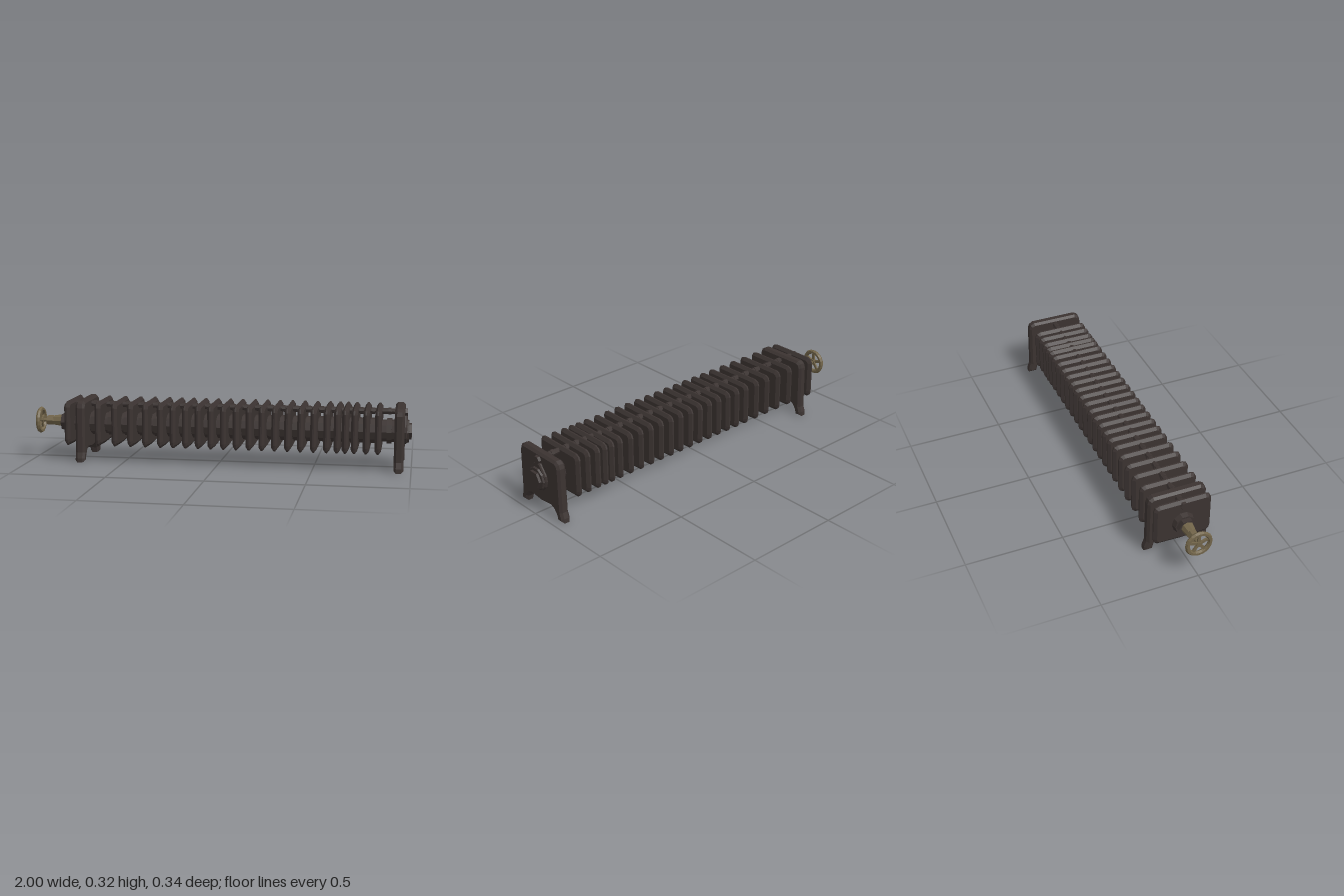
import * as THREE from 'three';

const iron = new THREE.MeshStandardMaterial({ color: 0x3b3331 });
iron.name = 'castIron';
const bronze = new THREE.MeshStandardMaterial({ color: 0x716449 });
bronze.name = 'agedBronze';

const AXIS_Y = 0.192; // height of the main pipe
const ROD_Y = 0.294;  // height of the upper tie pipe

// Faceted mesh
function part(name, geometry, material = iron) {
  const flat = geometry.index ? geometry.toNonIndexed() : geometry;
  flat.computeVertexNormals();
  const mesh = new THREE.Mesh(flat, material);
  mesh.name = name;
  return mesh;
}

// Cylinder lying along x, from x0 (radius r0) to x1 (radius r1)
function bar(name, x0, x1, r0, r1, y, sides = 10, material = iron) {
  const g = new THREE.CylinderGeometry(r1, r0, x1 - x0, sides);
  g.rotateZ(-Math.PI / 2);
  g.translate((x0 + x1) / 2, y, 0);
  return part(name, g, material);
}

// Outline in (z, y), mirrored from one half, extruded along x about its middle
function plate(half, depth, bevel, bevelSize) {
  const all = [...half, ...half.slice().reverse().map(([z, y]) => [-z, y])]
    .filter(([z], i, a) => z !== 0 || a.findIndex((p) => p[0] === 0 && p[1] === a[i][1]) === i);
  const shape = new THREE.Shape(all.map(([z, y]) => new THREE.Vector2(z, y)));
  const g = new THREE.ExtrudeGeometry(shape, {
    depth, bevelEnabled: bevel > 0, bevelThickness: bevel,
    bevelSize, bevelOffset: -bevelSize, bevelSegments: 1,
  });
  g.translate(0, 0, -depth / 2);
  g.rotateY(Math.PI / 2);
  return g;
}

export function createModel() {
  const radiator = new THREE.Group();
  radiator.name = 'radiator';

  // Fin positions: wide pitch on the left, tighter towards the right
  const fins = [-0.80, -0.635, -0.545, -0.46, -0.38, -0.3, -0.232];
  for (let i = 0; i < 12; i++) fins.push(-0.166 + i * 0.0668);
  fins.push(0.622, 0.664, 0.71, 0.77, 0.83);
  const legs = [-0.727, 0.937];

  // Thin fins with tapered rims
  const finShape = plate([
    [0, 0.084], [0.13, 0.088], [0.145, 0.1], [0.15, 0.12], [0.15, 0.292], [0.141, 0.312], [0.122, 0.32],
  ], 0.008, 0.012, 0.016);
  fins.forEach((x) => {
    const fin = part('fin', finShape);
    fin.position.x = x;
    radiator.add(fin);
  });

  // Thicker end plates that carry the feet
  const legShape = plate([
    [0, 0.056], [0.075, 0.065], [0.1, 0.054], [0.118, 0.03], [0.125, 0.002], [0.17, 0.002],
    [0.168, 0.025], [0.157, 0.055], [0.154, 0.29], [0.146, 0.313], [0.125, 0.325],
  ], 0.026, 0.012, 0.012);
  legs.forEach((x) => {
    const leg = part('legPlate', legShape);
    leg.position.x = x;
    radiator.add(leg);
  });

  // Main pipe and upper pipe, with a collar where neighbouring sections meet
  radiator.add(bar('mainPipe', -0.81, 0.94, 0.058, 0.058, AXIS_Y));
  radiator.add(bar('upperPipe', -0.81, 0.94, 0.015, 0.015, ROD_Y, 8));
  const stations = [...fins, ...legs].sort((a, b) => a - b);
  for (let i = 0; i < stations.length - 1; i++) {
    const mid = (stations[i] + stations[i + 1]) / 2;
    radiator.add(bar('pipeCollar', mid - 0.013, mid + 0.013, 0.066, 0.066, AXIS_Y));
    radiator.add(bar('upperCollar', mid - 0.008, mid + 0.008, 0.018, 0.018, ROD_Y, 8));
  }

  // Raised teardrop and hexagonal plug on the right end
  const boss = part('endBoss', plate([
    [0, 0.125], [0.035, 0.136], [0.06, 0.162], [0.068, 0.195], [0.062, 0.222], [0.022, 0.275], [0, 0.28],
  ], 0.014, 0.006, 0.006));
  boss.position.x = 0.962;
  radiator.add(boss);
  radiator.add(bar('plugFlange', 0.955, 0.985, 0.067, 0.058, AXIS_Y, 10));
  radiator.add(bar('hexPlug', 0.98, 0.998, 0.047, 0.045, AXIS_Y, 6));
  radiator.add(bar('upperPlug', 0.95, 0.976, 0.025, 0.02, 0.29, 6));

  // Fittings on the left end
  radiator.add(bar('inletFlange', -0.842, -0.8, 0.052, 0.064, AXIS_Y, 10));
  radiator.add(bar('inletNut', -0.866, -0.84, 0.046, 0.048, AXIS_Y, 6));
  radiator.add(bar('upperPlug', -0.825, -0.8, 0.018, 0.022, ROD_Y, 6));

  // Bronze valve
  const valve = new THREE.Group();
  valve.name = 'valve';
  const y = 0.197;
  valve.add(bar('valveBody', -0.915, -0.86, 0.025, 0.034, y, 8, bronze));
  valve.add(bar('valveNut', -0.95, -0.912, 0.027, 0.027, y, 6, bronze));
  valve.add(bar('valveStem', -0.99, -0.948, 0.009, 0.011, y, 8, bronze));
  valve.add(bar('wheelHub', -0.996, -0.974, 0.015, 0.017, y, 8, bronze));

  // Hand wheel with five spokes
  const rim = new THREE.TorusGeometry(0.059, 0.012, 6, 20);
  rim.rotateY(Math.PI / 2);
  const wheel = part('wheelRim', rim, bronze);
  wheel.position.set(-0.987, y, 0);
  valve.add(wheel);
  for (let i = 0; i < 5; i++) {
    const g = new THREE.BoxGeometry(0.01, 0.05, 0.014);
    g.translate(0, 0.033, 0);
    const spoke = part('wheelSpoke', g, bronze);
    spoke.position.copy(wheel.position);
    spoke.rotation.x = (i / 5) * Math.PI * 2;
    valve.add(spoke);
  }
  radiator.add(valve);

  return radiator;
}
